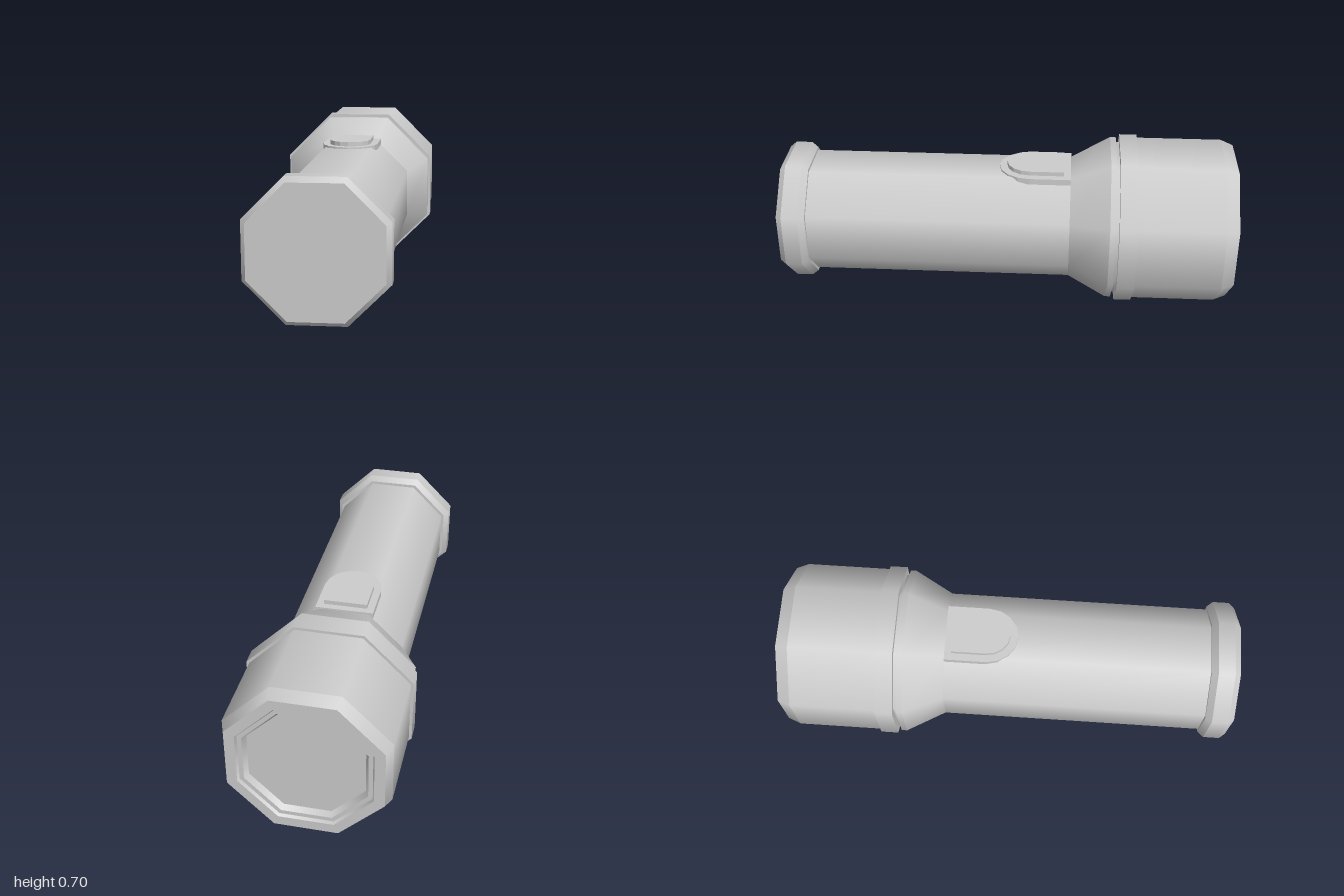
import * as THREE from 'three';
import { mergeGeometries } from 'three/addons/utils/BufferGeometryUtils.js';

const AXIS_Y = 0.352;
const TILT = 0.0055;
const TO_CORNER = 1 / Math.cos(Math.PI / 8);

// Eight-sided turned part along z. Profile points are [apothem, z], each band
// keeps its own normals so edges between bands stay sharp.
function turned(profile) {
  const bands = [];
  for (let i = 0; i < profile.length - 1; i++) {
    const pts = [profile[i], profile[i + 1]].map(([r, z]) => new THREE.Vector2(r * TO_CORNER, z));
    bands.push(new THREE.LatheGeometry(pts, 8, Math.PI / 8));
  }
  return mergeGeometries(bands).rotateX(Math.PI / 2).rotateZ(TILT);
}

// Plate with a straight back and a rounded front end, lying flat on y.
function roundedPlate(halfWidth, back, arcStart, front, bottom, top) {
  const shape = new THREE.Shape();
  shape.moveTo(-halfWidth, -back);
  for (let i = 0; i <= 8; i++) {
    const a = Math.PI * (1 - i / 8);
    shape.lineTo(halfWidth * Math.cos(a), -arcStart - (front - arcStart) * Math.sin(a));
  }
  shape.lineTo(halfWidth, -back);
  shape.closePath();
  const g = new THREE.ExtrudeGeometry(shape, { depth: top - bottom, bevelEnabled: false });
  return g.rotateX(-Math.PI / 2).translate(0, bottom, 0);
}

export function createModel() {
  const model = new THREE.Group();
  model.name = 'flashlight';
  const grey = new THREE.MeshStandardMaterial({ color: 0xcccccc });
  grey.name = 'grey';

  const add = (name, geometry, y = 0) => {
    const mesh = new THREE.Mesh(geometry, grey);
    mesh.name = name;
    mesh.position.y = y;
    model.add(mesh);
  };

  // Lens end, from the recessed glass outward
  add('lens', turned([[0, -0.965], [0.236, -0.965]]), AXIS_Y);
  add('lensRim', turned([[0.236, -0.965], [0.25, -0.988], [0.268, -0.988], [0.275, -1]]), AXIS_Y);
  add('head', turned([[0.275, -1], [0.318, -1], [0.339, -0.945], [0.339, -0.57]]), AXIS_Y);

  // Collar and the narrow groove behind it
  add('collar', turned([[0.339, -0.57], [0.351, -0.57], [0.351, -0.492], [0.318, -0.492]]), AXIS_Y);
  add('groove', turned([[0.318, -0.492], [0.318, -0.477]]), AXIS_Y);
  add('neck', turned([[0.318, -0.477], [0.339, -0.477], [0.339, -0.452], [0.252, -0.28]]), AXIS_Y);

  // Handle and tail cap
  add('handle', turned([[0.252, -0.28], [0.252, 0.875]]), AXIS_Y);
  add('tailCap', turned([
    [0.252, 0.875], [0.265, 0.875], [0.285, 0.902], [0.285, 0.974], [0.265, 1], [0, 1],
  ]), AXIS_Y);

  // Switch on top of the handle
  add('switchBase', roundedPlate(0.125, -0.28, -0.1, 0.036, 0.585, 0.612));
  add('switchButton', roundedPlate(0.093, -0.25, -0.1, 0.002, 0.612, 0.631));

  return model;
}
